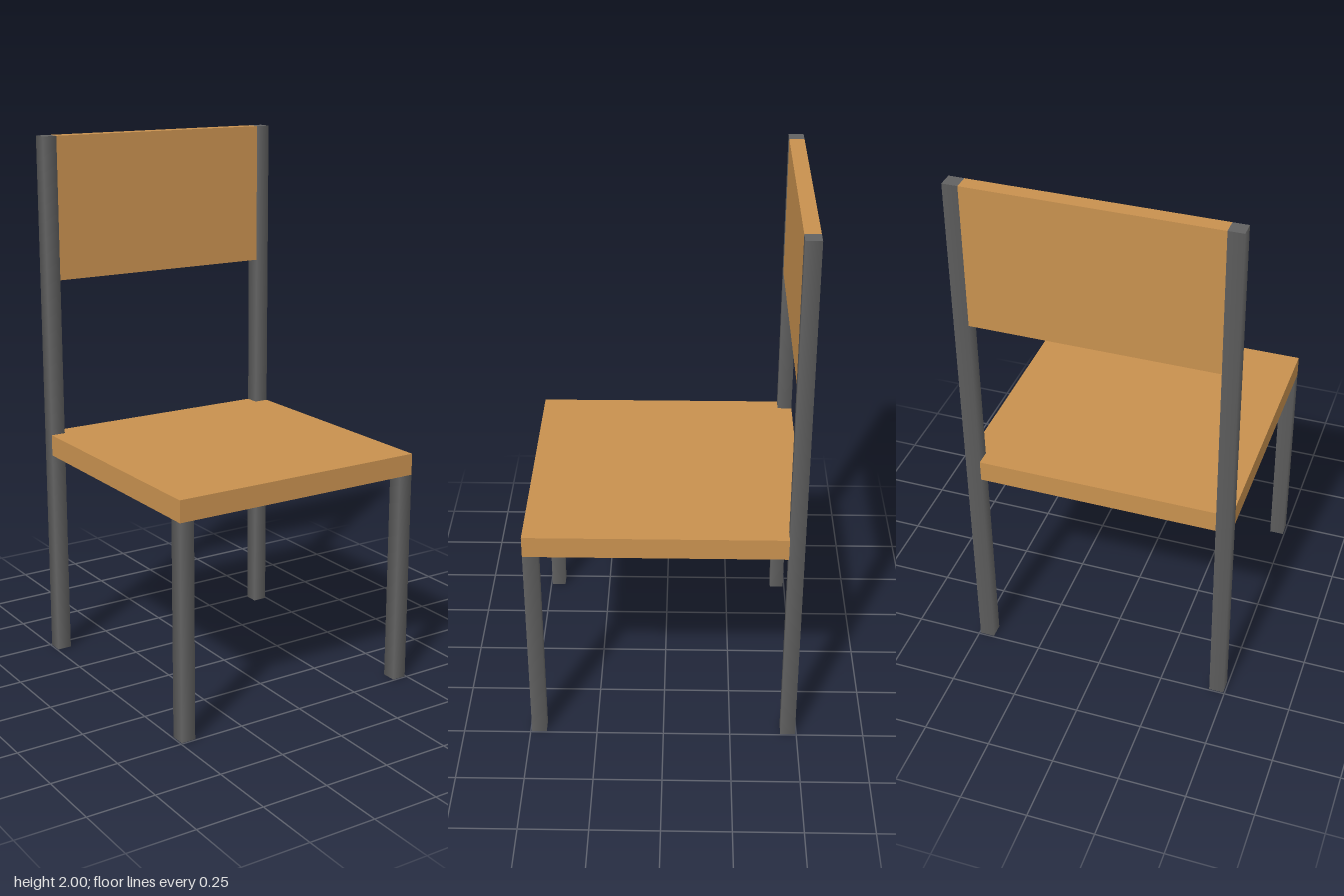
import * as THREE from 'three';

const wood = new THREE.MeshStandardMaterial({ color: 0xc8914f });
wood.name = 'wood';
const metal = new THREE.MeshStandardMaterial({ color: 0x626262 });
metal.name = 'dark metal';

const HALF = 0.495;   // half width and depth of the chair
const POST = 0.055;   // thickness of the square legs
const INNER = HALF - POST;
const SEAT_BOTTOM = 0.8;
const SEAT_TOP = 0.88;
const BACK_BOTTOM = 1.47;
const HEIGHT = 2;

export function createModel() {
  const chair = new THREE.Group();
  chair.name = 'chair';

  const add = (name, geometry, material, x = 0, y = 0, z = 0) => {
    const mesh = new THREE.Mesh(geometry, material);
    mesh.name = name;
    mesh.position.set(x, y, z);
    chair.add(mesh);
  };

  // Square post with softly shaded corners, standing on the floor
  const post = (height) =>
    new THREE.CylinderGeometry(POST / Math.SQRT2, POST / Math.SQRT2, height, 4)
      .rotateY(Math.PI / 4)
      .translate(0, height / 2, 0);

  // Short front legs, and back legs that rise to hold the backrest
  const legOffset = HALF - POST / 2;
  for (const [side, sign] of [['left', 1], ['right', -1]]) {
    add(`${side}FrontLeg`, post(SEAT_BOTTOM), metal, sign * legOffset, 0, legOffset);
    add(`${side}BackPost`, post(HEIGHT), metal, sign * legOffset, 0, -legOffset);
  }

  // Seat slab, notched around the back posts (shape y becomes -z)
  const outline = [
    [-HALF, -HALF], [HALF, -HALF], [HALF, INNER], [INNER, INNER],
    [INNER, HALF], [-INNER, HALF], [-INNER, INNER], [-HALF, INNER],
  ].map(([x, y]) => new THREE.Vector2(x, y));
  const seat = new THREE.ExtrudeGeometry(new THREE.Shape(outline), {
    depth: SEAT_TOP - SEAT_BOTTOM,
    bevelEnabled: false,
  }).rotateX(-Math.PI / 2);
  add('seat', seat, wood, 0, SEAT_BOTTOM, 0);

  // Backrest panel between the posts
  const panel = new THREE.BoxGeometry(INNER * 2, HEIGHT - BACK_BOTTOM, POST);
  add('backrest', panel, wood, 0, (HEIGHT + BACK_BOTTOM) / 2, -legOffset);

  return chair;
}
